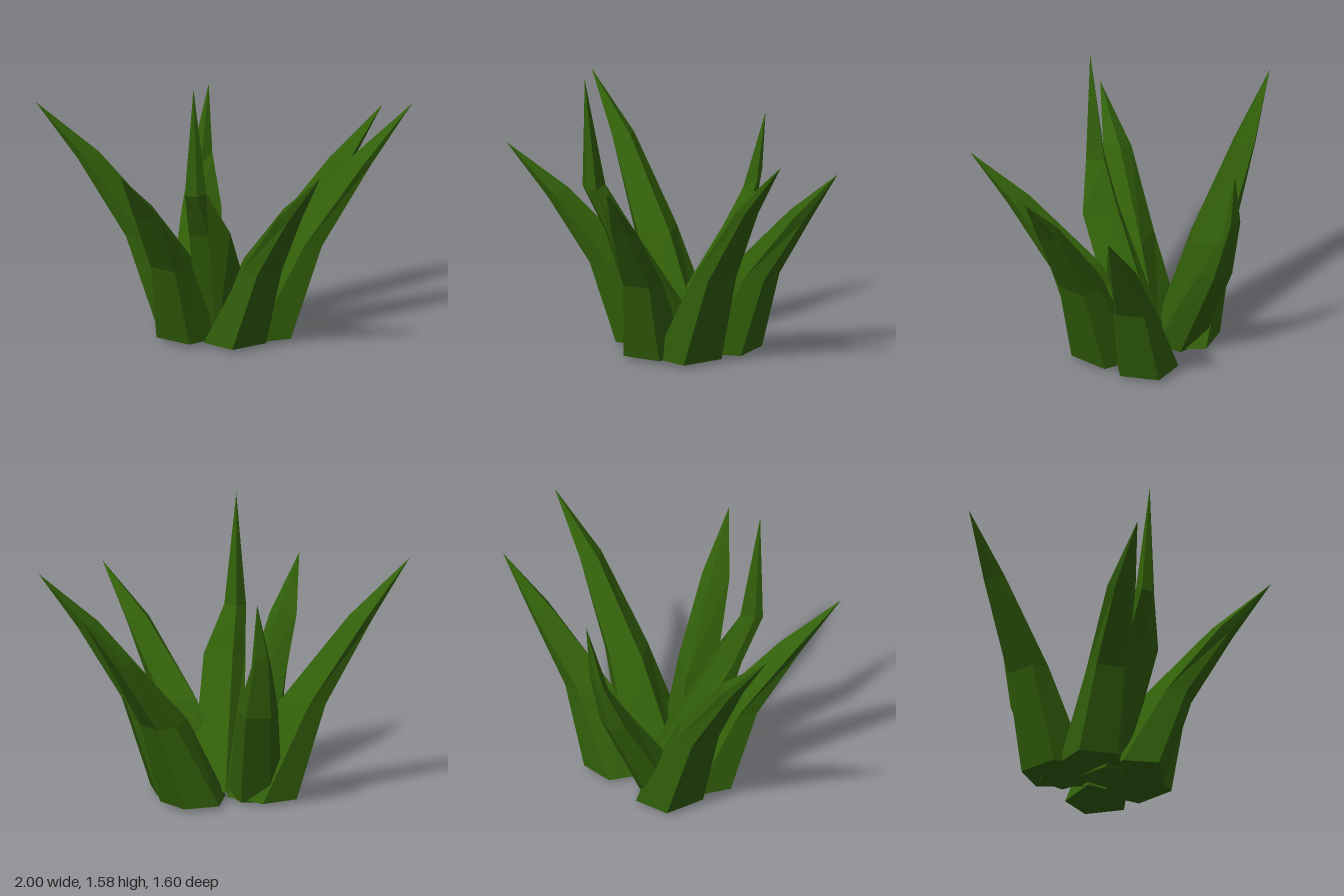
import * as THREE from 'three';

// Cross-sections, root to shoulder, measured outward from the leaf's origin:
// [y, back distance, back half width, side distance, side half width, inner ridge distance,
//  sideways shift, ridge lift, extra sideways skew of back and ridge]
const LOW = [
  [0.02, 0.39, 0.11, 0.2, 0.175, 0.02, 0.085, 0, 0],
  [0.48, 0.535, 0.08, 0.43, 0.115, 0.27, 0.045, 0.01, 0],
  [0.85, 0.77, 0.045, 0.73, 0.08, 0.66, 0.03, 0.04, 0],
];
const MIDDLE = [
  [0.02, 0.37, 0.12, 0.17, 0.19, 0.0, 0.115, 0, 0],
  [0.54, 0.54, 0.09, 0.44, 0.125, 0.3, 0.09, 0.01, 0],
  [0.99, 0.81, 0.045, 0.77, 0.07, 0.69, 0.06, 0.02, 0],
];
const FRONT = [
  [0.0, 0.24, 0.055, -0.03, 0.15, -0.1, 0.03, 0.05, -0.05],
  [0.68, 0.45, 0.055, 0.41, 0.115, 0.32, 0.045, 0.04, -0.055],
  [0.95, 0.58, 0.035, 0.53, 0.06, 0.46, 0, 0.01, -0.015],
];
const REAR = [
  [0.01, 0.15, 0.08, 0.02, 0.15, -0.12, 0, 0.03, 0],
  [0.55, 0.4, 0.07, 0.33, 0.11, 0.27, 0.01, 0.06, 0],
  [0.91, 0.49, 0.035, 0.45, 0.055, 0.39, 0.025, -0.11, 0],
];

// Five-sided leaf swept through its sections and closed to a point
function leafGeometry(sections, [ox, oz], tip, lean) {
  const length = Math.hypot(tip[0] - ox, tip[2] - oz);
  const ux = (tip[0] - ox) / length, uz = (tip[2] - oz) / length;
  const place = (r, y, t) => [ox + ux * r + uz * t, y, oz + uz * r - ux * t];
  const rings = sections.map(([y, rb, wb, rs, ws, rr, shift, lift, skew]) => {
    const s = shift * lean;
    return [
      place(rb, y, s + skew - wb), place(rb, y, s + skew + wb),
      place(rs, y + lift / 2, s + ws),
      place(rr, y + lift, s + skew),
      place(rs, y + lift / 2, s - ws),
    ];
  });
  const pos = [];
  const tri = (a, b, c) => pos.push(...a, ...b, ...c);
  const last = rings.length - 1;
  for (let j = 0; j < 5; j++) {
    const k = (j + 1) % 5;
    for (let i = 0; i < last; i++) {
      tri(rings[i][j], rings[i][k], rings[i + 1][k]);
      tri(rings[i][j], rings[i + 1][k], rings[i + 1][j]);
    }
    tri(rings[last][j], rings[last][k], tip);
  }
  // flat underside
  for (let j = 1; j < 4; j++) tri(rings[0][0], rings[0][j + 1], rings[0][j]);
  const geometry = new THREE.BufferGeometry();
  geometry.setAttribute('position', new THREE.Float32BufferAttribute(pos, 3));
  geometry.computeVertexNormals();
  return geometry;
}

export function createModel() {
  const plant = new THREE.Group();
  plant.name = 'spikyPlant';
  const green = new THREE.MeshStandardMaterial({ color: 0x32600a, flatShading: true });
  const centre = [0, -0.14];
  // name, sections, origin, tip, sideways lean
  const leaves = [
    ['backLeftLeaf', LOW, centre, [0.72, 1.15, -0.8], 0.5],
    ['frontLeftLeaf', LOW, centre, [0.73, 1.15, 0.52], -1],
    ['frontRightLeaf', LOW, centre, [-0.33, 1.15, 0.8], -0.85],
    ['leftLeaf', MIDDLE, centre, [1, 1.31, -0.4], -1],
    ['rightLeaf', MIDDLE, centre, [-1, 1.31, 0.13], -0.75],
    ['tallFrontLeaf', FRONT, centre, [-0.015, 1.575, 0.44], 1],
    ['rearLeaf', REAR, [-0.17, -0.14], [-0.23, 1.23, -0.65], 1],
  ];
  for (const [name, sections, origin, tip, lean] of leaves) {
    const leaf = new THREE.Mesh(leafGeometry(sections, origin, tip, lean), green);
    leaf.name = name;
    plant.add(leaf);
  }
  return plant;
}
